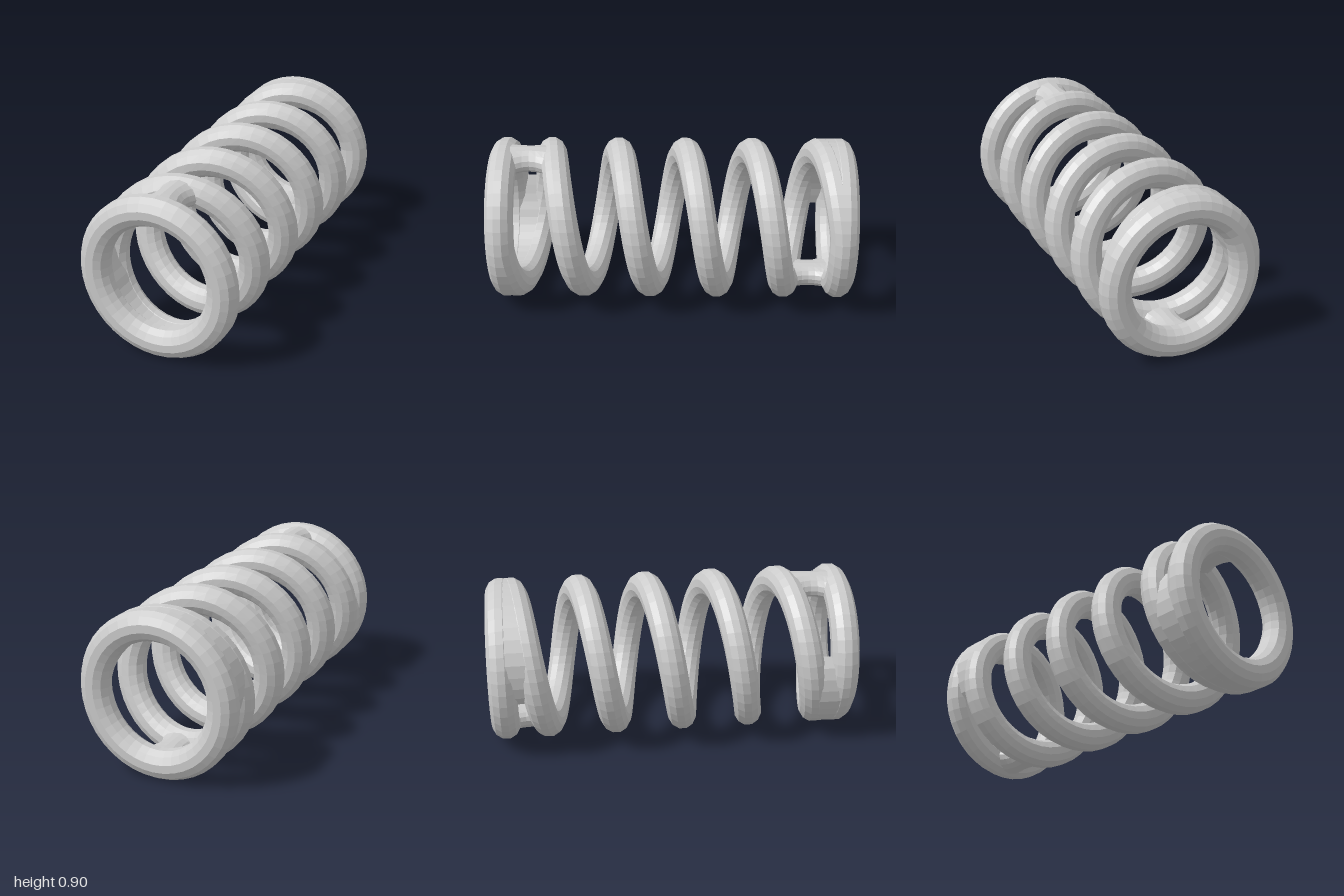
import * as THREE from 'three';

const RX = 0.36, RY = 0.37, CY = 0.45;   // coil radii and axis height
const R = 0.079, RZ = 0.075;             // wire half thickness, radial and along z
const PITCH = 0.373, END_Z = 0.925;      // coil pitch, centre of the end rings
const SIDES = 12;

const material = new THREE.MeshStandardMaterial({ color: 0xcccccc, flatShading: true });
const coilZ = t => THREE.MathUtils.clamp(-0.005 - PITCH * t, -END_Z, END_Z);

// Sweeps a rounded section around the axis from turn t0 to t1.
// span(t) gives the lowest and highest z of the section's centre line.
function sweep(name, t0, t1, span, radial = () => R, rz = RZ) {
  const steps = Math.ceil((t1 - t0) * 40);
  const pos = [], idx = [];
  const k = 1 / Math.cos(Math.PI / SIDES);
  for (let i = 0; i <= steps; i++) {
    const t = t0 + (t1 - t0) * i / steps;
    const c = -Math.cos(t * 2 * Math.PI), s = Math.sin(t * 2 * Math.PI);
    const [lo, hi] = span(t);
    const h = radial(t) * k;
    for (let j = 0; j < SIDES; j++) {
      const a = (j + 0.5) / SIDES * 2 * Math.PI;
      const d = h * Math.cos(a), w = Math.sin(a);
      pos.push((RX + d) * c, CY + (RY + d) * s, (w > 0 ? hi : lo) + rz * k * w);
      if (i < steps) {
        const p = i * SIDES + j, q = i * SIDES + (j + 1) % SIDES;
        idx.push(p, q, p + SIDES, q, q + SIDES, p + SIDES);
      }
    }
  }
  const g = new THREE.BufferGeometry();
  g.setAttribute('position', new THREE.Float32BufferAttribute(pos, 3));
  g.setIndex(idx);
  g.computeVertexNormals();
  const mesh = new THREE.Mesh(g, material);
  mesh.name = name;
  return mesh;
}

// Short waisted strut joining an end ring to the neighbouring coil
function bridge(name, end) {
  const zA = 0.63, zB = 0.93;
  const g = new THREE.CylinderGeometry(1, 1, 2, 16, 8, true).rotateX(Math.PI / 2);
  const p = g.attributes.position;
  for (let i = 0; i < p.count; i++) {
    const u = p.getZ(i);
    const x = p.getX(i) * (0.085 + 0.09 * u * u);
    const y = 0.37 + p.getY(i) * 0.068 - x * x / 0.74;
    p.setXYZ(i, x, y, (zA + zB) / 2 + u * (zB - zA) / 2);
  }
  g.computeVertexNormals();
  const mesh = new THREE.Mesh(g, material);
  mesh.name = name;
  mesh.position.y = CY;
  if (end < 0) mesh.rotation.x = Math.PI;
  return mesh;
}

export function createModel() {
  const group = new THREE.Group();
  group.name = 'coilSpring';

  // Helical wire
  group.add(sweep('coil', -2.5, 2.5, t => [coilZ(t), coilZ(t)]));

  for (const end of [1, -1]) {
    const label = end > 0 ? 'front' : 'back';
    // Closed end ring
    group.add(sweep(label + 'Ring', 0, 1, () => [end * END_Z, end * END_Z]));
    // Web filling the narrowing gap between ring and last turn
    const web = t => {
      const z = coilZ(t);
      return end > 0 ? [z, END_Z] : [-END_Z, z];
    };
    const taper = t => 0.077 * Math.sqrt(Math.min(1, 0.02 + (Math.abs(t) - 1.96) / 0.1));
    const [t0, t1] = end > 0 ? [-2.5, -1.96] : [1.96, 2.5];
    group.add(sweep(label + 'Web', t0, t1, web, taper, 0.072));
    group.add(bridge(label + 'Bridge', end));
  }
  return group;
}
